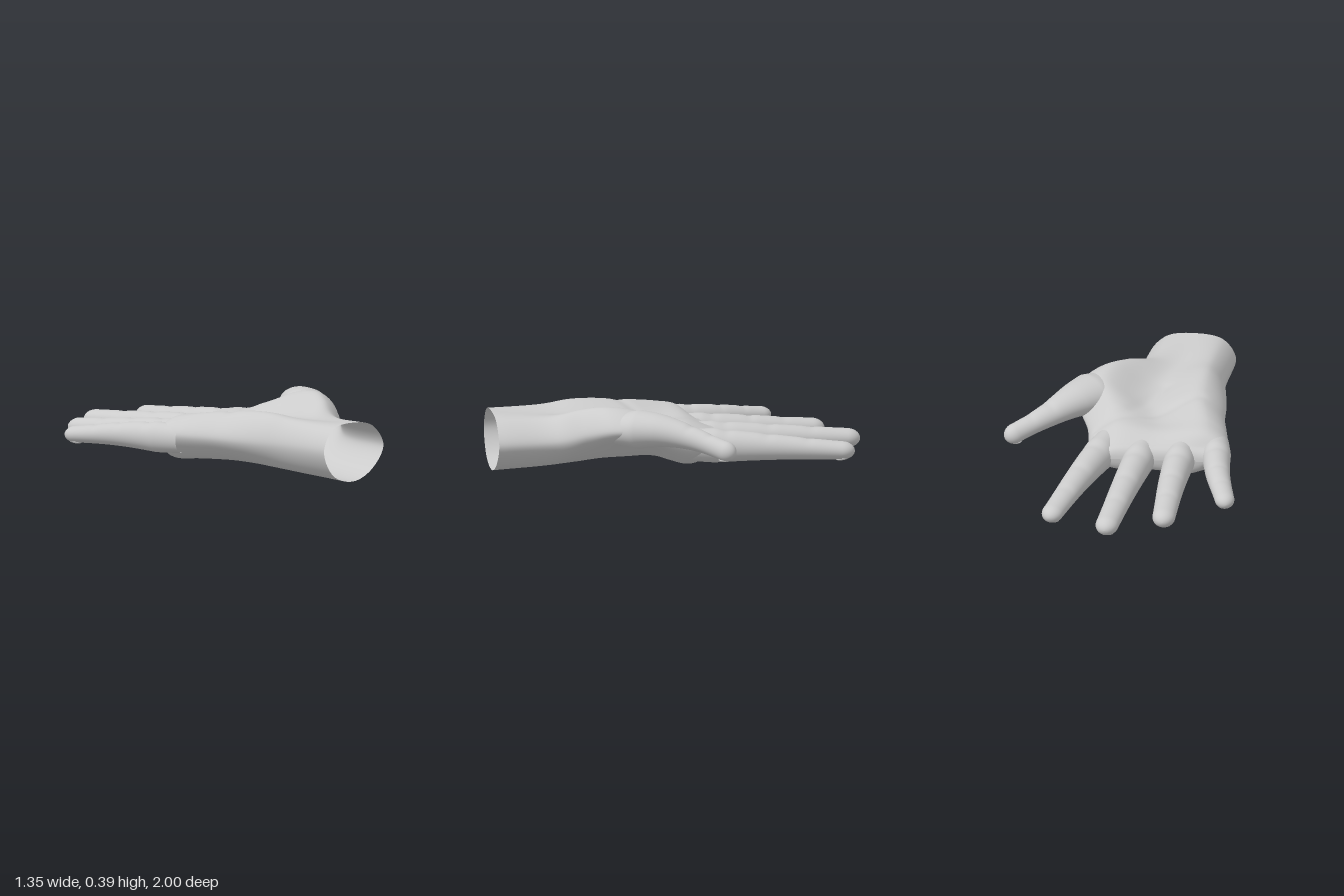
import * as THREE from 'three';

const SKIN = new THREE.MeshStandardMaterial({ color: 0xcccccc, side: THREE.DoubleSide });
const SIDES = 48;
const { lerp } = THREE.MathUtils;

// Skin a list of equal-length rings; shared vertices keep it smooth all round.
function loft(rings, name) {
  const n = rings[0].length;
  const index = [];
  for (let i = 0; i < rings.length - 1; i++) {
    for (let j = 0; j < n; j++) {
      const a = i * n + j, b = i * n + (j + 1) % n;
      index.push(a, a + n, b, b, a + n, b + n);
    }
  }
  const geometry = new THREE.BufferGeometry().setFromPoints(rings.flat());
  geometry.setIndex(index);
  geometry.computeVertexNormals();
  const mesh = new THREE.Mesh(geometry, SKIN);
  mesh.name = name;
  return mesh;
}

// Wrist-to-knuckle sections: z, left x, right x, top heights (left, middle, right),
// bottom heights (middle, right)
const PALM = [
  [1.00, -0.34, 0.13, 0.30, 0.32, 0.285, 0, 0.055],
  [0.70, -0.35, 0.155, 0.315, 0.30, 0.30, 0.02, 0.07],
  [0.55, -0.385, 0.27, 0.335, 0.29, 0.36, 0.04, 0.12],
  [0.42, -0.415, 0.362, 0.335, 0.275, 0.385, 0.06, 0.16],
  [0.27, -0.44, 0.39, 0.32, 0.26, 0.365, 0.065, 0.17],
  [0.15, -0.475, 0.325, 0.305, 0.25, 0.31, 0.06, 0.12],
  [0.06, -0.50, 0.27, 0.29, 0.25, 0.275, 0.05, 0.07],
  [-0.05, -0.52, 0.24, 0.265, 0.25, 0.255, 0.03, 0.04],
  [-0.20, -0.47, 0.205, 0.212, 0.215, 0.21, 0.075, 0.08],
];

// Palm creases as x, z polylines
const CREASES = [
  [[0.2, -0.02], [0.05, 0.1], [-0.08, 0.42]],
  [[0.16, 0], [-0.05, 0.12], [-0.3, 0.28]],
].flatMap(line => line.slice(1).map((p, i) => new THREE.Line3(
  new THREE.Vector3(line[i][0], 0, line[i][1]), new THREE.Vector3(p[0], 0, p[1]))));

function pressCreases(p) {
  if (p.y < 0.2) return;
  const flat = new THREE.Vector3(p.x, 0, p.z), near = new THREE.Vector3();
  const d = Math.min(...CREASES.map(l => l.closestPointToPoint(flat, true, near).distanceTo(flat)));
  p.y -= 0.007 * Math.exp(-((d / 0.032) ** 2));
}

function makePalm() {
  // Eight control points per section, running right, top, left, bottom
  const sections = PALM.map(([z, xl, xr, tL, tM, tR, bM, bR]) => {
    const skew = Math.max(0, -0.05 - z) * 0.65; // the little-finger side ends earlier
    return [[1, (tR + bR) / 2], [0.82, tR], [0.5, tM], [0.15, tL],
      [0, 0.19], [0.15, 0.05 + bM * 0.25], [0.5, bM], [0.82, bR]]
      .map(([u, y]) => new THREE.Vector3(lerp(xl, xr, u), y, z + skew * (1 - u)));
  });
  const rails = sections[0].map((_, k) => new THREE.CatmullRomCurve3(sections.map(s => s[k])));

  const rings = [];
  const steps = 88;
  for (let i = 0; i <= steps; i++) {
    const loop = new THREE.CatmullRomCurve3(rails.map(r => r.getPoint(i / steps)), true);
    const ring = Array.from({ length: SIDES * 2 }, (_, j) => loop.getPoint(j / (SIDES * 2)));
    ring.forEach(pressCreases);
    rings.push(ring);
  }
  // Rounded web edge between the fingers
  const last = rings[steps];
  for (let k = 1; k <= 6; k++) {
    const a = k / 6 * Math.PI / 2;
    rings.push(last.map(p => new THREE.Vector3(
      p.x, lerp(0.15, p.y, Math.cos(a)), p.z - 0.045 * Math.sin(a))));
  }
  return loft(rings, 'palmAndWrist');
}

// Tapered digit along a path, thinned at the buried root and creased at the joints
function makeDigit({ name, points, root, tip, taper, rootThin, flatness, joints }) {
  const group = new THREE.Group();
  group.name = name;
  const tipLength = tip * 1.2;
  const path = new THREE.CatmullRomCurve3(points.map(p => new THREE.Vector3(...p)));
  const frame = t => {
    const tangent = path.getTangent(t);
    const side = new THREE.Vector3().crossVectors(tangent, new THREE.Vector3(0, 1, 0)).normalize();
    const up = new THREE.Vector3().crossVectors(side, tangent);
    const width = lerp(tip, root, (1 - t) ** taper) * (1 - rootThin * Math.max(0, 1 - t * 5));
    return { centre: path.getPoint(t), tangent, side, up, width, height: width * lerp(...flatness, t) };
  };
  const ringAt = (t, scale, push) => {
    const f = frame(t);
    const crease = joints.reduce((sum, c) => sum + Math.exp(-(((t - c) / 0.035) ** 2)), 0);
    return Array.from({ length: SIDES }, (_, j) => {
      const a = j / SIDES * Math.PI * 2, s = Math.sin(a);
      const h = f.height * (1 - 0.07 * crease * Math.max(0, s));
      return f.centre.clone()
        .addScaledVector(f.tangent, push)
        .addScaledVector(f.side, f.width * scale * Math.cos(a))
        .addScaledVector(f.up, h * scale * s);
    });
  };

  const rings = [];
  for (let i = 0; i <= 60; i++) rings.push(ringAt(i / 60, 1, 0));
  // Rounded fingertip
  for (let k = 1; k <= 10; k++) {
    const a = k / 10 * Math.PI / 2;
    rings.push(ringAt(1, Math.cos(a), tipLength * Math.sin(a)));
  }
  group.add(loft(rings, 'flesh'));

  // Nail sunk into the back of the tip
  const f = frame(1);
  const nail = new THREE.Mesh(new THREE.SphereGeometry(1, 24, 16), SKIN);
  nail.name = 'nail';
  nail.scale.set(f.width * 0.6, 0.01, tipLength * 0.55);
  nail.position.copy(f.centre).addScaledVector(f.up, -f.height * 0.87)
    .addScaledVector(f.tangent, tipLength * 0.05);
  nail.quaternion.setFromRotationMatrix(
    new THREE.Matrix4().makeBasis(f.side, f.up, f.tangent.clone().negate()));
  nail.rotateX(0.18);
  group.add(nail);
  return group;
}

// Proportions shared by the four fingers
const FINGER = { taper: 1.3, rootThin: 0.22, flatness: [1.14, 0.84], joints: [0.27, 0.52, 0.78] };
const DIGITS = [
  { ...FINGER, name: 'littleFinger', root: 0.085, tip: 0.053,
    points: [[-0.44, 0.165, 0.05], [-0.525, 0.162, -0.3], [-0.618, 0.145, -0.555]] },
  { ...FINGER, name: 'ringFinger', root: 0.09, tip: 0.062,
    points: [[-0.275, 0.15, 0], [-0.299, 0.139, -0.42], [-0.335, 0.123, -0.782]] },
  { ...FINGER, name: 'middleFinger', root: 0.092, tip: 0.062,
    points: [[-0.072, 0.145, 0], [-0.06, 0.135, -0.48], [-0.055, 0.117, -0.926]] },
  { ...FINGER, name: 'indexFinger', root: 0.095, tip: 0.058,
    points: [[0.122, 0.148, 0], [0.2, 0.136, -0.43], [0.262, 0.114, -0.845]] },
  { name: 'thumb', root: 0.177, tip: 0.052, taper: 2, rootThin: 0.45,
    flatness: [0.72, 1.05], joints: [0.62, 0.82],
    points: [[0.2, 0.262, 0.42], [0.36, 0.278, 0.17], [0.485, 0.25, 0], [0.624, 0.205, -0.146]] },
];

export function createModel() {
  const hand = new THREE.Group();
  hand.name = 'hand';
  hand.add(makePalm(), ...DIGITS.map(makeDigit));
  return hand;
}
